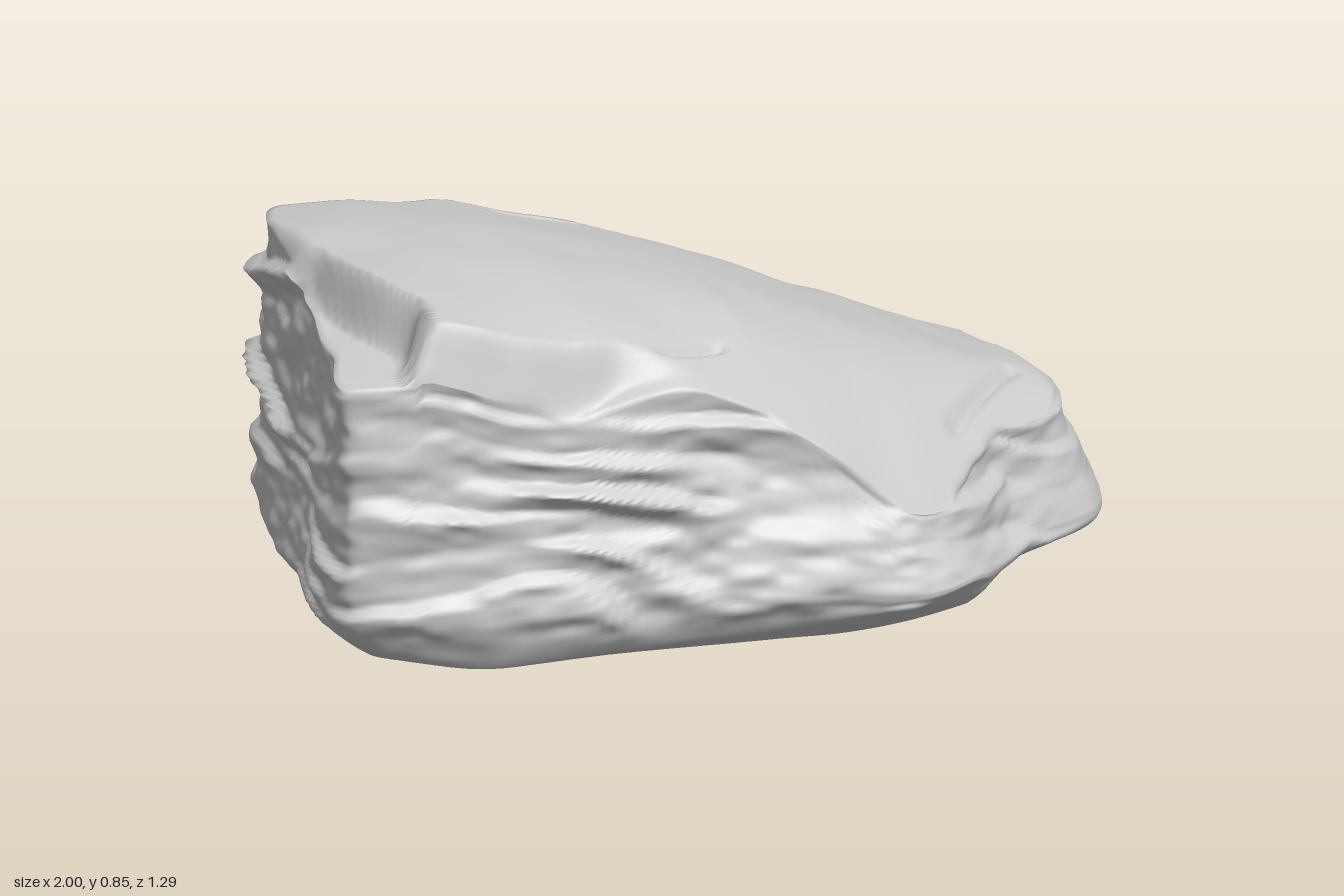
import * as THREE from 'three';

const { smoothstep, lerp, clamp } = THREE.MathUtils;

// Plan outline, one row per corner: widest x, z near the foot, then x, z of the upper rim
const OUTLINE = [
  [-0.97, 0.46, -0.98, 0.47], [-0.99, 0.28, -0.95, 0.29], [-0.95, 0.05, -0.91, 0.05],
  [-0.93, -0.20, -0.89, -0.20], [-0.91, -0.36, -0.87, -0.38], [-0.81, -0.54, -0.79, -0.51],
  [-0.50, -0.62, -0.50, -0.55], [0.00, -0.62, 0.00, -0.55], [0.38, -0.64, 0.38, -0.56],
  [0.70, -0.60, 0.68, -0.55], [0.96, -0.54, 0.89, -0.52], [1.00, -0.42, 0.90, -0.40],
  [0.96, -0.08, 0.86, -0.10], [0.87, 0.19, 0.78, 0.13], [0.63, 0.37, 0.58, 0.32],
  [0.46, 0.59, 0.41, 0.52], [0.30, 0.66, 0.27, 0.58], [-0.05, 0.62, -0.05, 0.53],
  [-0.40, 0.58, -0.38, 0.52], [-0.75, 0.53, -0.70, 0.50],
];
// Height of the sloping top along x
const SLOPE = [[-1, 0.85], [-0.8, 0.85], [-0.4, 0.82], [0, 0.71], [0.4, 0.55], [0.8, 0.41], [0.93, 0.3], [1, 0.18]];
// Narrow slits in the top: from x, z to x, z
const SLITS = [[0.72, 0.03, 0.48, 0.34], [-0.22, 0.43, -0.08, 0.37], [-0.27, -0.51, -0.12, -0.51]];

// Smooth seeded value noise, range -1..1
function hash(x, y, z) {
  let h = Math.imul(x, 374761393) ^ Math.imul(y, 668265263) ^ Math.imul(z, 1274126177);
  h = Math.imul(h ^ (h >>> 13), 1103515245);
  return ((h ^ (h >>> 16)) >>> 0) / 2147483648 - 1;
}
function noise(x, y, z) {
  const i = Math.floor(x), j = Math.floor(y), k = Math.floor(z);
  const u = smoothstep(x - i, 0, 1), v = smoothstep(y - j, 0, 1), w = smoothstep(z - k, 0, 1);
  const row = (b, c) => lerp(hash(i, b, c), hash(i + 1, b, c), u);
  return lerp(lerp(row(j, k), row(j + 1, k), v), lerp(row(j, k + 1), row(j + 1, k + 1), v), w);
}

// Depth of a slit at a point, fading with distance from its line
function slitDepth(x, z, [ax, az, bx, bz]) {
  const dx = bx - ax, dz = bz - az;
  const s = clamp(((x - ax) * dx + (z - az) * dz) / (dx * dx + dz * dz), 0, 1);
  const d = Math.hypot(x - ax - s * dx, z - az - s * dz);
  return 0.02 * Math.exp(-((d / 0.015) ** 2));
}

// Top: long slope, gently domed across and curving down to the front corner
function topHeight(x, z) {
  const cx = clamp(x, -1, 0.9999);
  const i = SLOPE.findIndex((s, n) => n < SLOPE.length - 1 && cx < SLOPE[n + 1][0]);
  const [x0, y0] = SLOPE[i], [x1, y1] = SLOPE[i + 1];
  const dome = z < 0 ? 0.17 : lerp(0.15, 0.5, smoothstep(x, -0.8, -0.4));
  const corner = Math.max(0, 0.45 * x + 0.9 * z - 0.3);
  let y = lerp(y0, y1, (cx - x0) / (x1 - x0)) - dome * z * z - 0.95 * corner * corner;
  // Broken shelf around the thick front corner
  const sideEdge = -x - 0.86 + 0.09 * smoothstep(z, 0, 0.4);
  const frontEdge = z - 0.45;
  const edge = Math.max(sideEdge, frontEdge) + 0.02 * noise(x * 9, 1, z * 9);
  y -= lerp(0.03, 0.14, smoothstep(z, -0.3, 0.2)) * smoothstep(edge, 0, 0.05) * (1 - smoothstep(x, -0.5, -0.15));
  y += 0.009 * noise(x * 3, 5, z * 2) + 0.006 * noise(x * 8, 9, z * 5);
  return SLITS.reduce((sum, slit) => sum - slitDepth(x, z, slit), y);
}

// Underside: flat toward the front, lifting to the thin end, the back and the edges
function bottomHeight(x, z) {
  const end = 0.07 * smoothstep(x, 0.1, 0.75), back = 0.14 * Math.max(0, -z - 0.02);
  return 0.012 + Math.max(end, back) + 0.04 * smoothstep(-x, 0.6, 0.95)
    + 0.06 * smoothstep(z, 0.47, 0.62) + 0.011 * noise(x * 3 + 7, 2, z * 3);
}

// How far the layered side wall sticks out or is undercut
function strata(x, y, z) {
  const level = (y + 0.14 * x) * 11 + 1.1 * noise(x * 2, y * 4, z * 2) + 0.3 * noise(x * 7, 4, z * 7);
  const layer = Math.floor(level), f = level - layer;
  const lip = f < 0.75 ? f / 0.75 : (1 - f) / 0.25;
  const reach = Math.max(0, 0.25 + noise(x * 2.6, layer * 7, z * 2.6));
  return 0.05 * lip * reach - 0.015 + 0.014 * noise(x * 3, y * 9, z * 3)
    + 0.012 * noise(x * 7, y * 22, z * 7) + 0.008 * noise(x * 18, y * 35, z * 18);
}

function rockGeometry() {
  const N = 280, CAP = 42, SIDE = 70;
  const loop = (a, b) => new THREE.CatmullRomCurve3(
    OUTLINE.map((p) => new THREE.Vector3(p[a], 0, p[b])), true, 'catmullrom', 0.35);
  const foot = loop(0, 1), rim = loop(2, 3);
  const pos = [], index = [];

  // Rings run from the centre of the underside, up the side wall, to the centre of the top
  const rings = CAP * 2 + SIDE + 1;
  for (let j = 0; j < rings; j++) {
    const t = clamp((j - CAP) / SIDE, 0, 1);
    const inward = Math.min(1, j / CAP, (rings - 1 - j) / CAP);
    const scale = Math.max(inward ** 0.7, 0.0005);
    for (let i = 0; i < N; i++) {
      const p = foot.getPoint(i / N), q = rim.getPoint(i / N);
      const wall = p.clone().lerp(q, 0.35 * smoothstep(t, 0.05, 1) + 0.65 * Math.max(0, (t - 0.2) / 0.8));
      // Rounded foot
      wall.multiplyScalar(1 - 0.09 * Math.max(0, 1 - t / 0.16) ** 2);
      const out = wall.clone().normalize();
      const y0 = bottomHeight(wall.x, wall.z), y1 = topHeight(q.x, q.z);
      const y = lerp(y0, y1, t);
      // Layers fade out where the wall is low and on the smooth thin end
      const thinEnd = smoothstep(wall.x, 0.6, 0.85) * smoothstep(wall.z, -0.56, -0.45);
      const mask = smoothstep(t, 0, 0.12) * (1 - 0.5 * smoothstep(t, 0.93, 1))
        * smoothstep(y1 - y0, 0.02, 0.35) * (1 - 0.75 * thinEnd);
      wall.addScaledVector(out, mask * strata(wall.x, y, wall.z)).multiplyScalar(scale);
      if (j <= CAP) pos.push(wall.x, bottomHeight(wall.x, wall.z), wall.z);
      else if (j >= CAP + SIDE) pos.push(wall.x, topHeight(wall.x, wall.z), wall.z);
      else pos.push(wall.x, y, wall.z);
    }
  }
  for (let j = 0; j < rings - 1; j++) {
    for (let i = 0; i < N; i++) {
      const a = j * N + i, b = j * N + (i + 1) % N;
      index.push(a, a + N, b, b, a + N, b + N);
    }
  }

  const geo = new THREE.BufferGeometry();
  geo.setAttribute('position', new THREE.Float32BufferAttribute(pos, 3));
  geo.setIndex(index);
  // Rest on the ground
  geo.computeBoundingBox();
  geo.translate(0, -geo.boundingBox.min.y, 0);
  geo.computeVertexNormals();
  return geo;
}

export function createModel() {
  const group = new THREE.Group();
  group.name = 'layeredRock';
  const rock = new THREE.Mesh(rockGeometry(), new THREE.MeshStandardMaterial({ color: 0xcccccc }));
  rock.name = 'rock';
  group.add(rock);
  return group;
}
